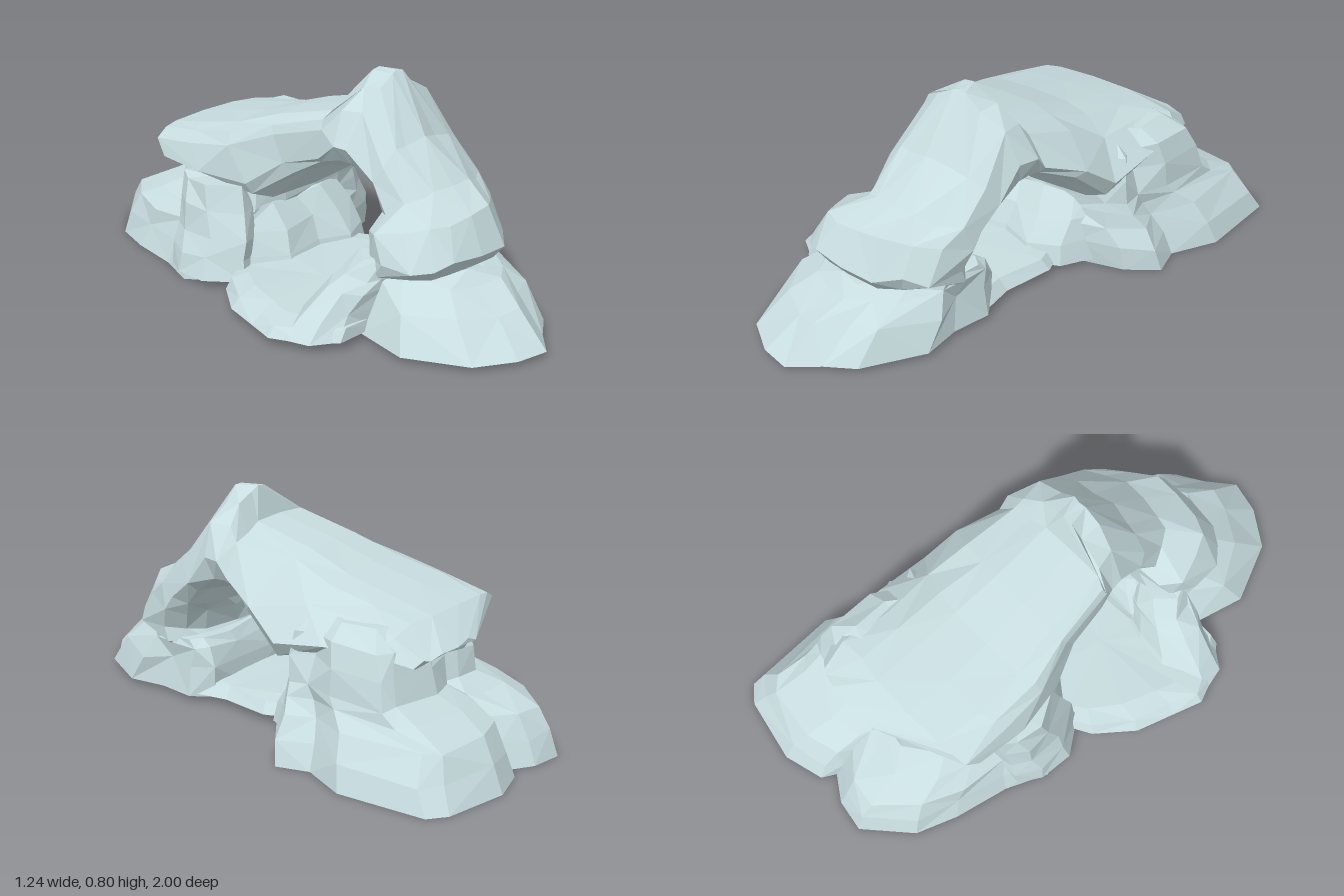
import * as THREE from 'three';

const stone = new THREE.MeshStandardMaterial({ color: 0xc8dde0, side: THREE.DoubleSide });
stone.name = 'paleStone';

// Small repeatable noise in -1..1
let seed = 7;
const rnd = () => {
  seed = (seed * 16807) % 2147483647;
  return (seed / 2147483647) * 2 - 1;
};
const mix = THREE.MathUtils.lerp;

// Closed solid over rings of points: a list of triangles wound outwards
function skin(name, rings) {
  const n = rings[0].length, tris = [];
  for (let i = 0; i < rings.length - 1; i++) {
    for (let j = 0; j < n; j++) {
      const k = (j + 1) % n;
      const a = rings[i][j], b = rings[i][k], c = rings[i + 1][k], d = rings[i + 1][j];
      if ((i * 3 + j) % 2) tris.push([a, b, c], [a, c, d]);
      else tris.push([a, b, d], [b, c, d]);
    }
  }
  const cap = (ring, flip) => {
    const mid = ring.reduce((s, p) => s.add(p), new THREE.Vector3()).divideScalar(n);
    ring.forEach((p, j) => {
      const q = ring[(j + 1) % n];
      tris.push(flip ? [mid, q, p] : [mid, p, q]);
    });
  };
  cap(rings[0], true);
  cap(rings[rings.length - 1], false);
  const cross = new THREE.Vector3();
  const volume = tris.reduce((s, [a, b, c]) => s + a.dot(cross.crossVectors(b, c)), 0);
  return { name, tris: tris.map(([a, b, c]) => (volume < 0 ? [a, c, b] : [a, b, c])) };
}

// Outline in plan [x, z], fitted to each level [y, x0, x1, z0, z1]
function stack(name, outline, levels, rough = 0.013) {
  const xs = outline.map(p => p[0]), zs = outline.map(p => p[1]);
  const ax = Math.min(...xs), bx = Math.max(...xs), az = Math.min(...zs), bz = Math.max(...zs);
  return skin(name, levels.map(([y, x0, x1, z0, z1], i) => outline.map(([x, z]) => {
    const r = i ? rough : 0;
    return new THREE.Vector3(
      mix(x0, x1, (x - ax) / (bx - ax)) + rnd() * r,
      y + rnd() * r * 0.8,
      mix(z0, z1, (z - az) / (bz - az)) + rnd() * r);
  })));
}

// Arch sections: outer z, y, inner z, y, x range at the waist, x range on the outside, roundness
function arch(name, sections, sides = 14) {
  return skin(name, sections.map(([oz, oy, iz, iy, x0, x1, t0, t1, power = 0.75]) => {
    const ring = [];
    for (let j = 0; j < sides; j++) {
      const a = (j / sides) * Math.PI * 2 + Math.PI / 2;
      const soft = s => Math.sign(s) * Math.abs(s) ** power;
      const u = soft(Math.cos(a)), v = soft(Math.sin(a)), up = Math.max(v, 0);
      const r = Math.abs(v) < 0.93 ? 0.012 : 0;
      ring.push(new THREE.Vector3(
        mix(mix(x0, t0, up), mix(x1, t1, up), (u + 1) / 2) + rnd() * r,
        mix(iy, oy, (v + 1) / 2) + rnd() * r,
        mix(iz, oz, (v + 1) / 2) + rnd() * r));
    }
    return ring;
  }));
}

// Is a point inside a closed solid?
const ray = new THREE.Ray(new THREE.Vector3(), new THREE.Vector3(0.31, 0.9, 0.27).normalize());
const hit = new THREE.Vector3();
function inside(point, solid) {
  ray.origin.copy(point);
  return solid.tris.filter(t => ray.intersectTriangle(...t, false, hit)).length % 2 === 1;
}

// Faceted open shell: leaves out the underside and faces buried in other parts
function shell(solid, all) {
  const others = all.filter(s => s !== solid);
  const kept = solid.tris.filter(t => {
    if (t.every(p => p.y < 0.04)) return false;
    const mid = new THREE.Vector3().add(t[0]).add(t[1]).add(t[2]).divideScalar(3);
    const probes = [mid, ...t.map(p => p.clone().lerp(mid, 0.1))];
    return !probes.every(p => others.some(s => inside(p, s)));
  });
  const geo = new THREE.BufferGeometry().setFromPoints(kept.flat());
  geo.computeVertexNormals();
  const mesh = new THREE.Mesh(geo, stone);
  mesh.name = solid.name;
  return mesh;
}

export function createModel() {
  // Ledge, front column, peak and the roof slab running back
  const span = arch('archSpan', [
    [0.62, 0.19, 0.37, 0.17, -0.25, 0.18, -0.2, 0.12],
    [0.69, 0.235, 0.33, 0.2, -0.32, 0.23, -0.28, 0.12],
    [0.725, 0.28, 0.36, 0.24, -0.345, 0.245, -0.31, 0.14],
    [0.66, 0.4, 0.34, 0.31, -0.3, 0.26, -0.24, 0.12],
    [0.54, 0.46, 0.33, 0.35, -0.2, 0.28, -0.15, 0.15],
    [0.4, 0.6, 0.29, 0.41, -0.18, 0.29, -0.12, 0.17],
    [0.25, 0.8, 0.21, 0.45, -0.19, 0.3, 0.0, 0.11],
    [0.175, 0.8, 0.16, 0.46, -0.2, 0.31, 0.0, 0.11],
    [0.14, 0.69, 0.1, 0.46, -0.2, 0.31, -0.22, 0.16, 0.5],
    [-0.1, 0.63, 0.0, 0.42, -0.22, 0.38, -0.23, 0.17, 0.5],
    [-0.28, 0.57, -0.14, 0.29, -0.27, 0.43, -0.26, 0.2, 0.5],
    [-0.46, 0.53, -0.34, 0.35, -0.3, 0.43, -0.27, 0.22, 0.5],
    [-0.63, 0.49, -0.53, 0.37, -0.28, 0.43, -0.25, 0.25, 0.6],
    [-0.745, 0.41, -0.67, 0.36, 0.02, 0.38, 0.04, 0.33],
  ]);

  const foot = stack('frontFoot', [
    [-0.1, 1], [0, 0.92], [0.1, 0.86], [0.23, 0.65], [0.22, 0.5], [0.25, 0.35], [0.2, 0.27],
    [0, 0.26], [-0.25, 0.28], [-0.38, 0.45], [-0.44, 0.66], [-0.35, 0.88], [-0.22, 0.97],
  ], [
    [0.022, -0.44, 0.25, 0.26, 1],
    [0.13, -0.37, 0.24, 0.27, 0.88],
    [0.2, -0.3, 0.23, 0.29, 0.77],
    [0.23, -0.27, 0.22, 0.32, 0.7],
  ]);

  // Broad rear mass: low skirt, terrace, then a recessed wall under the slab
  const rear = stack('rearRock', [
    [0.62, -0.9], [0.56, -0.95], [0.32, -1], [0.17, -0.96], [0.14, -0.91], [0.05, -0.97],
    [-0.07, -0.99], [-0.23, -0.85], [-0.29, -0.7], [-0.34, -0.5], [-0.41, -0.35], [-0.32, -0.2],
    [-0.12, -0.17], [0.12, -0.16], [0.3, -0.16], [0.45, -0.2], [0.56, -0.28], [0.53, -0.4], [0.62, -0.57],
  ], [
    [0.005, -0.41, 0.62, -1, -0.16],
    [0.09, -0.39, 0.59, -0.96, -0.15],
    [0.17, -0.36, 0.535, -0.91, -0.15],
    [0.22, -0.32, 0.49, -0.79, -0.16],
    [0.26, -0.27, 0.48, -0.71, -0.16],
    [0.35, -0.25, 0.46, -0.69, -0.17],
    [0.43, -0.24, 0.44, -0.65, -0.19],
    [0.48, -0.18, 0.36, -0.58, -0.24],
  ], 0.011);

  // Fallen rock at the rear side of the opening
  const rubble = stack('rubble', [
    [-0.28, -0.3], [-0.3, -0.14], [-0.16, -0.03], [0.02, -0.05], [0.14, -0.01], [0.27, -0.06], [0.34, -0.18], [0.3, -0.3],
  ], [
    [0.025, -0.3, 0.34, -0.3, 0.0],
    [0.1, -0.3, 0.33, -0.3, -0.03],
    [0.18, -0.28, 0.32, -0.3, -0.08],
    [0.26, -0.27, 0.29, -0.3, -0.14],
  ]);

  // Low floor under the opening, spreading out to one side
  const floor = stack('floorShelf', [
    [-0.62, 0.25], [-0.58, 0.14], [-0.53, 0], [-0.42, -0.13], [-0.33, -0.18], [-0.1, -0.2],
    [0.2, -0.18], [0.26, 0], [0.22, 0.2], [0.24, 0.38], [0, 0.45], [-0.3, 0.47], [-0.5, 0.46], [-0.58, 0.36],
  ], [
    [0.032, -0.62, 0.26, -0.2, 0.47],
    [0.07, -0.585, 0.23, -0.18, 0.46],
    [0.083, -0.5, 0.16, -0.15, 0.42],
  ], 0.008);

  // Rock slopes leaning on the front column and on the rear mass
  const wedge = [[-0.6, 0.3], [-0.45, 0.2], [-0.3, 0.22], [-0.18, 0.26], [-0.16, 0.45], [-0.32, 0.48], [-0.5, 0.46], [-0.58, 0.4]];
  const frontSlope = stack('sideSlope', wedge, [
    [0.032, -0.6, -0.16, 0.2, 0.47],
    [0.1, -0.53, -0.16, 0.24, 0.47],
    [0.17, -0.44, -0.16, 0.28, 0.48],
    [0.2, -0.36, -0.16, 0.3, 0.5],
    [0.27, -0.31, -0.16, 0.34, 0.52],
  ]);
  const rearSlope = stack('sideSlope', wedge.map(([x, z]) => [x, -z]), [
    [0.028, -0.42, -0.16, -0.48, -0.12],
    [0.1, -0.4, -0.16, -0.48, -0.13],
    [0.17, -0.375, -0.16, -0.48, -0.14],
    [0.27, -0.35, -0.16, -0.48, -0.17],
    [0.36, -0.33, -0.16, -0.48, -0.2],
  ]);

  const group = new THREE.Group();
  group.name = 'rockArch';
  const solids = [span, foot, rear, rubble, floor, frontSlope, rearSlope];
  solids.forEach(s => group.add(shell(s, solids)));
  return group;
}
